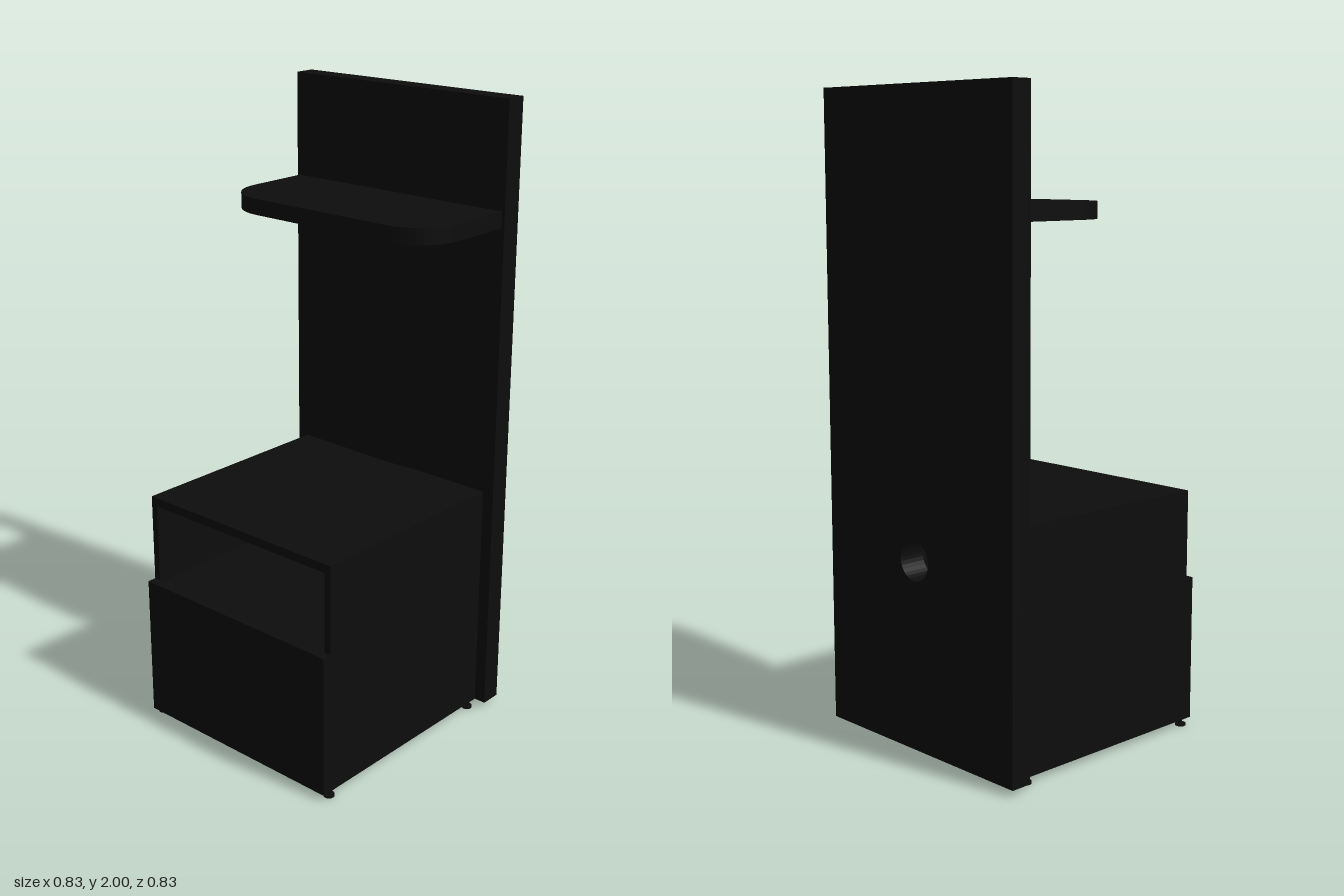
import * as THREE from 'three';

export function createModel() {
  const model = new THREE.Group();
  const black = new THREE.MeshStandardMaterial({ color: 0x0d0d0d });
  black.name = 'matte black';

  const add = (name, geometry, x = 0, y = 0, z = 0) => {
    const mesh = new THREE.Mesh(geometry, black);
    mesh.name = name;
    mesh.position.set(x, y, z);
    model.add(mesh);
    return mesh;
  };
  // Box given by its limits on each axis
  const board = (name, x0, x1, y0, y1, z0, z1) =>
    add(name, new THREE.BoxGeometry(x1 - x0, y1 - y0, z1 - z0),
      (x0 + x1) / 2, (y0 + y1) / 2, (z0 + z1) / 2);

  // Tall back panel with a cable hole, swelling slightly towards the hole
  const holeY = 0.615, holeR = 0.063;
  const panel = new THREE.Shape();
  panel.moveTo(-0.414, 0.02).lineTo(0.414, 0.02).lineTo(0.414, 2).lineTo(-0.414, 2).closePath();
  const hole = new THREE.Path();
  hole.absarc(0, holeY, holeR, 0, Math.PI * 2, true);
  panel.holes.push(hole);
  const panelGeo = new THREE.ExtrudeGeometry(panel, { depth: 0.068, bevelEnabled: false, curveSegments: 16 });
  panelGeo.translate(0, 0, -0.406);
  const p = panelGeo.attributes.position;
  for (let i = 0; i < p.count; i++) {
    if (Math.hypot(p.getX(i), p.getY(i) - holeY) < 0.1) {
      p.setZ(i, p.getZ(i) + (p.getZ(i) < -0.37 ? -0.01 : 0.008));
    }
  }
  panelGeo.computeVertexNormals();
  add('backPanel', panelGeo);

  // Wall shelf with rounded front corners
  const r = 0.145, w = 0.404, back = 0.338, front = 0.02;
  const shelf = new THREE.Shape();
  shelf.moveTo(-w, back);
  shelf.lineTo(-w, -front + r);
  shelf.absarc(-w + r, -front + r, r, Math.PI, Math.PI * 1.5, false);
  shelf.absarc(w - r, -front + r, r, Math.PI * 1.5, Math.PI * 2, false);
  shelf.lineTo(w, back);
  shelf.closePath();
  const shelfGeo = new THREE.ExtrudeGeometry(shelf, { depth: 0.05, bevelEnabled: false, curveSegments: 5 });
  shelfGeo.rotateX(-Math.PI / 2);
  add('shelf', shelfGeo, 0, 1.62, 0);

  // Cabinet: sides, top, niche floor, base and rear rail
  for (const s of [-1, 1]) {
    board(s > 0 ? 'leftSide' : 'rightSide',
      s > 0 ? 0.352 : -0.375, s > 0 ? 0.375 : -0.352, 0.02, 0.74, -0.338, 0.385);
  }
  board('cabinetTop', -0.375, 0.375, 0.74, 0.768, -0.338, 0.385);
  board('nicheFloor', -0.352, 0.352, 0.45, 0.475, -0.338, 0.385);
  board('cabinetBase', -0.352, 0.352, 0.02, 0.045, -0.338, 0.385);
  board('rearRail', -0.352, 0.352, 0.665, 0.74, -0.338, -0.315);

  // Drawer front standing proud of the cabinet
  board('drawerFront', -0.375, 0.375, 0.02, 0.483, 0.385, 0.414);

  // Small levelling feet: disc and stem
  for (const x of [-0.365, 0.365]) {
    for (const z of [0.379, -0.307]) {
      add('footPad', new THREE.CylinderGeometry(0.017, 0.017, 0.007, 16), x, 0.0035, z);
      add('footStem', new THREE.CylinderGeometry(0.006, 0.006, 0.016, 10), x, 0.014, z);
    }
  }
  return model;
}
